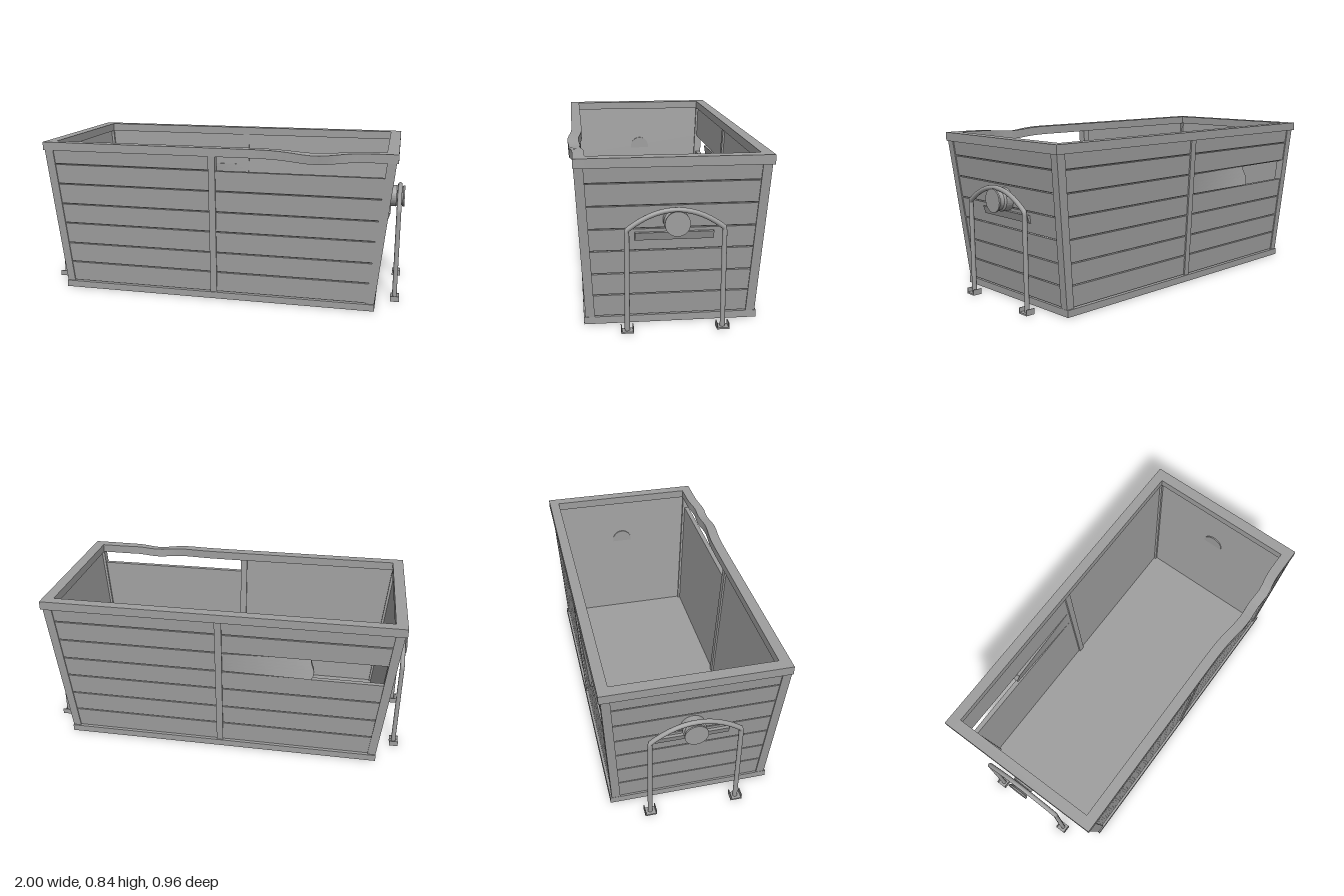
import * as THREE from 'three';

const GREY = 0x9e9e9e;
const material = new THREE.MeshStandardMaterial({ color: GREY, flatShading: true, side: THREE.DoubleSide });
const smooth = new THREE.MeshStandardMaterial({ color: GREY, side: THREE.DoubleSide });

const CENTRE_Z = -0.0085;
const halfX = (y) => 0.867 + 0.105 * y;
const halfZ = (y) => 0.417 + 0.055 * y;

function addMesh(parent, name, geometry, mat = material) {
  const mesh = new THREE.Mesh(geometry, mat);
  mesh.name = name;
  parent.add(mesh);
  return mesh;
}

function addBox(parent, name, x0, x1, y0, y1, z0, z1) {
  const g = new THREE.BoxGeometry(x1 - x0, y1 - y0, z1 - z0);
  g.translate((x0 + x1) / 2, (y0 + y1) / 2, (z0 + z1) / 2);
  return addMesh(parent, name, g);
}

// Moves every vertex of a geometry by a rule
function reshape(geometry, rule) {
  const p = geometry.attributes.position;
  const v = new THREE.Vector3();
  for (let i = 0; i < p.count; i++) {
    rule(v.fromBufferAttribute(p, i));
    p.setXYZ(i, v.x, v.y, v.z);
  }
  geometry.computeVertexNormals();
  return geometry;
}

// Board lying in a sloping wall. side: 0 front, 1 right end, 2 back, 3 left end.
// u is a fraction of the wall's half width, d the depth inward from its face.
// lap lowers the inner bottom edge, bend shifts u and d along the board.
function addBoard(parent, name, side, [u0, u1], [y0, y1], [d0, d1], lap = 0, bend = null) {
  const g = new THREE.BoxGeometry(1, 1, 1, bend ? 12 : 1, bend ? 6 : 1, 1);
  reshape(g, (v) => {
    const t = v.x + 0.5;
    const h = v.y + 0.5;
    const outer = v.z + 0.5;
    let u = u0 + (u1 - u0) * t;
    let d = d1 + (d0 - d1) * outer;
    const y = y0 + (y1 - y0) * h - lap * (1 - h) * (1 - outer);
    if (bend) {
      const [du, dd] = bend(t, h);
      u += du;
      d += dd;
    }
    const along = side % 2 ? halfZ(y) : halfX(y);
    const out = side % 2 ? halfX(y) : halfZ(y);
    v.set(u * along, y, out - d).applyAxisAngle(THREE.Object3D.DEFAULT_UP, side * Math.PI / 2);
    v.z += CENTRE_Z;
  });
  return addMesh(parent, name, g);
}

function createWalls() {
  const walls = new THREE.Group();
  walls.name = 'walls';
  const rows = [0.04, 0.154, 0.267, 0.385, 0.497, 0.612, 0.724, 0.805];
  const depth = [0.006, 0.032];
  const lap = 0.01;
  for (let side = 0; side < 4; side++) {
    for (let i = 0; i < rows.length - 1; i++) {
      const span = [rows[i], rows[i + 1] - 0.006];
      if (side % 2) {
        addBoard(walls, 'endPlank', side, [-0.93, 0.93], span, depth, lap);
        continue;
      }
      addBoard(walls, 'sidePlank', side, [-0.97, 0], span, depth, lap);
      if (side === 0 && i === 6) continue; // missing top plank
      if (side === 2 && i === 4) {
        // snapped plank, twisted toward its rounded end
        addBoard(walls, 'brokenPlank', side, [0, 0.54], span, depth, lap,
          (t, h) => [0.012 * t ** 4 * Math.sin(h * 5), 0.03 * t * (h - 0.4)]);
        continue;
      }
      addBoard(walls, 'sidePlank', side, [0, 0.97], span, depth, lap);
    }
    // corner posts and the middle posts of the long walls
    if (side % 2 === 0) {
      for (const s of [-1, 1]) {
        addBoard(walls, 'cornerPost', side, s > 0 ? [0.95, 1] : [-1, -0.95], [0.03, 0.8], [0, 0.045]);
      }
      addBoard(walls, 'middlePost', side, [-0.02, 0.02], [0.03, 0.8], [-0.002, 0.042]);
    }
  }
  return walls;
}

function createRim() {
  const rim = new THREE.Group();
  rim.name = 'rim';
  const y0 = 0.797, y1 = 0.843;
  addBox(rim, 'backRail', -0.96, 0.96, y0, y1, -0.48, -0.424);
  for (const s of [-1, 1]) {
    addBox(rim, 'endRail', s * 0.93 - 0.03, s * 0.93 + 0.03, y0, y1, -0.424, 0.399);
  }
  // front rail, dented downward and outward on one half
  const bump = (x, c, w) => Math.exp(-(((x - c) / w) ** 2));
  const g = new THREE.BoxGeometry(1.92, y1 - y0, 0.056, 48, 1, 1);
  g.translate(0, (y0 + y1) / 2, 0.427);
  reshape(g, (v) => {
    const dent = bump(v.x, 0.55, 0.13);
    v.y -= (v.z > 0.43 ? 0.019 : 0.013) * dent;
    v.z += 0.019 * bump(v.x, 0.43, 0.13) + 0.014 * bump(v.x, 0.65, 0.07) + (v.y > 0.81 ? 0.005 * dent : 0);
  });
  addMesh(rim, 'dentedFrontRail', g);
  return rim;
}

// Bent tube stand, spool, ledge and feet on one end
function createEndFittings(side) {
  const fittings = new THREE.Group();
  fittings.name = side > 0 ? 'leftFittings' : 'rightFittings';
  const x = 0.972, front = 0.215, back = -0.245, mid = -0.015;
  const point = (y, z) => new THREE.Vector3(x, y, z);
  const path = new THREE.CurvePath();
  path.add(new THREE.LineCurve3(point(0.006, front), point(0.505, front)));
  path.add(new THREE.QuadraticBezierCurve3(point(0.505, front), point(0.687, mid), point(0.505, back)));
  path.add(new THREE.LineCurve3(point(0.505, back), point(0.006, back)));
  addMesh(fittings, 'tubeStand', new THREE.TubeGeometry(path, 90, 0.0125, 12), smooth);

  // spool with a groove that carries the tube
  const profile = [[0, 0.89], [0.06, 0.89], [0.06, 0.955], [0.051, 0.963], [0.049, 0.975],
    [0.052, 0.986], [0.06, 0.992], [0.06, 1], [0, 1]].map(([r, h]) => new THREE.Vector2(r, h));
  const spool = new THREE.LatheGeometry(profile, 32).rotateZ(-Math.PI / 2).translate(0, 0.535, -0.02);
  addMesh(fittings, 'spool', spool);

  // ledge whose underside slopes back to the wall
  const ledge = addBox(fittings, 'ledge', 0.895, 0.928, 0.435, 0.475, -0.205, 0.172);
  reshape(ledge.geometry, (v) => {
    if (v.x > 0.92 && v.y < 0.45) v.x = 0.914;
  });

  // channel-shaped feet
  for (const z of [front, back]) {
    addBox(fittings, 'footPlate', 0.95, 0.998, 0, 0.008, z - 0.03, z + 0.03);
    for (const s of [-1, 1]) {
      addBox(fittings, 'footFlange', 0.95, 0.998, 0.008, 0.03, z + s * 0.028 - 0.002, z + s * 0.028 + 0.002);
    }
  }
  fittings.scale.x = side;
  return fittings;
}

export function createModel() {
  const model = new THREE.Group();
  model.name = 'slattedBin';
  addBox(model, 'floor', -0.872, 0.872, 0, 0.036, -0.435, 0.418);
  model.add(createWalls(), createRim(), createEndFittings(1), createEndFittings(-1));
  return model;
}
